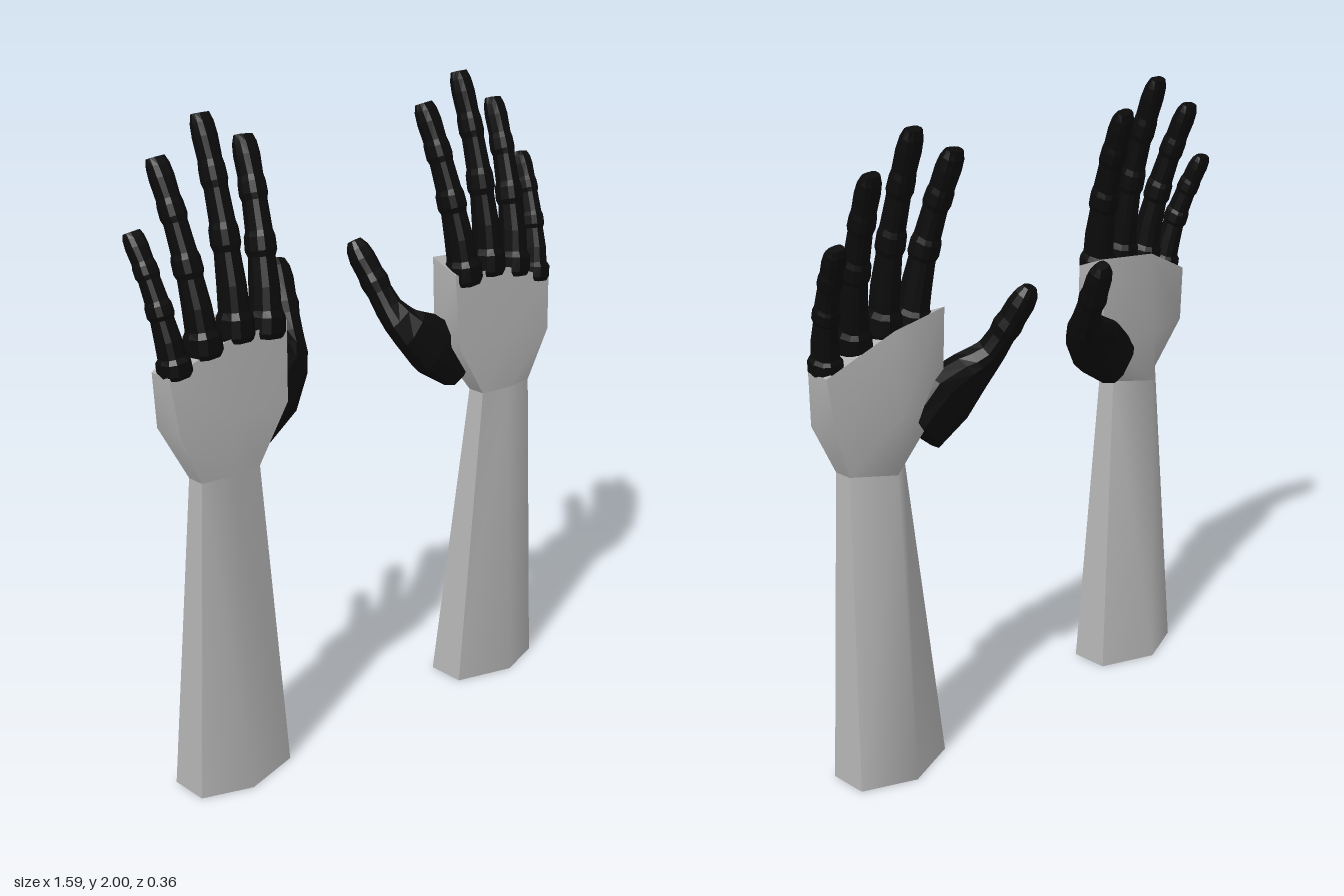
import * as THREE from 'three';

const mat = (name, color) => Object.assign(new THREE.MeshStandardMaterial({ color }), { name });

// Strip of quads between rows of points; smooth normals inside each strip
function sheet(rows) {
  const n = rows[0].length, index = [];
  for (let r = 0; r < rows.length - 1; r++)
    for (let i = 0; i < n - 1; i++) {
      const a = r * n + i, b = a + 1, c = a + n, d = c + 1;
      index.push(a, c, b, b, c, d);
    }
  const g = new THREE.BufferGeometry();
  g.setAttribute('position', new THREE.Float32BufferAttribute(rows.flat(2), 3));
  g.setIndex(index);
  g.computeVertexNormals();
  return g;
}

// Flat polygon closing one end
function cap(points, up) {
  const index = [];
  for (let i = 1; i < points.length - 1; i++) index.push(...(up ? [0, i + 1, i] : [0, i, i + 1]));
  const g = new THREE.BufferGeometry();
  g.setAttribute('position', new THREE.Float32BufferAttribute(points.flat(), 3));
  g.setIndex(index);
  g.computeVertexNormals();
  return g;
}

// Six-sided sleeve: creased at the narrow sides, smooth across front and back.
// Row order: outer back, outer front, front ridge, inner front, inner back, back ridge
function sleeve(rows) {
  const pick = (...ids) => sheet(rows.map((r) => ids.map((i) => r[i])));
  return [pick(0, 1), pick(1, 2, 3), pick(3, 4), pick(4, 5, 0),
    cap(rows[0], false), cap(rows[rows.length - 1], true)];
}

// Faceted tube through sections [x, y, z, halfWidth, halfDepth]
function loft(sections, sides = 10) {
  const pos = [], index = [];
  const centre = sections.map((s) => new THREE.Vector3(s[0], s[1], s[2]));
  const last = sections.length - 1;
  const soft = (v) => Math.sign(v) * Math.abs(v) ** 0.7;
  sections.forEach((s, k) => {
    const t = centre[Math.min(k + 1, last)].clone().sub(centre[Math.max(k - 1, 0)]).normalize();
    const w = new THREE.Vector3(t.y, -t.x, 0).normalize();
    const d = w.clone().cross(t);
    for (let i = 0; i < sides; i++) {
      const a = (i / sides) * Math.PI * 2;
      const p = centre[k].clone().addScaledVector(w, soft(Math.cos(a)) * s[3])
        .addScaledVector(d, soft(Math.sin(a)) * s[4]);
      pos.push(p.x, p.y, p.z);
      const j = (i + 1) % sides, o = k * sides;
      if (k < last) index.push(o + i, o + i + sides, o + j, o + j, o + i + sides, o + j + sides);
      if (i > 0 && i < sides - 1 && k === 0) index.push(0, i, i + 1);
      if (i > 0 && i < sides - 1 && k === last) index.push(o, o + i + 1, o + i);
    }
  });
  const g = new THREE.BufferGeometry();
  g.setAttribute('position', new THREE.Float32BufferAttribute(pos, 3));
  g.setIndex(index);
  const flat = g.toNonIndexed();
  flat.setIndex([...Array(flat.attributes.position.count).keys()]);
  flat.computeVertexNormals();
  return flat;
}

// Mirrored copy with its faces turned the right way round
function mirrored(geometry) {
  const g = geometry.clone().applyMatrix4(new THREE.Matrix4().makeScale(-1, 1, 1));
  const a = g.index.array;
  for (let i = 0; i < a.length; i += 3) [a[i + 1], a[i + 2]] = [a[i + 2], a[i + 1]];
  return g;
}

// Joint bulges along a finger: [t, width, halfDepth, z]
const fingerProfile = [
  [0, 0.045, 0.046, 0.076], [0.02, 0.048, 0.052, 0.077], [0.1, 0.046, 0.052, 0.074],
  [0.13, 0.037, 0.044, 0.071], [0.25, 0.035, 0.042, 0.062], [0.4, 0.031, 0.036, 0.044],
  [0.43, 0.037, 0.041, 0.04], [0.5, 0.036, 0.04, 0.03], [0.53, 0.031, 0.036, 0.026],
  [0.68, 0.029, 0.033, 0.0], [0.71, 0.034, 0.036, -0.006], [0.77, 0.033, 0.035, -0.018],
  [0.8, 0.03, 0.032, -0.024], [0.9, 0.033, 0.031, -0.045], [0.96, 0.032, 0.026, -0.058],
  [1, 0.028, 0.015, -0.066],
];

function finger(x0, y0, x1, y1, size, curl) {
  return loft(fingerProfile.map(([t, w, d, z]) => [
    x0 + (x1 - x0) * t, y0 + (y1 - y0) * t, 0.076 + (z - 0.076) * curl, w * size, d * size]));
}

export function createModel() {
  const model = new THREE.Group();
  model.name = 'pairOfHands';
  const grey = mat('light grey', 0xb4b4b4);
  const black = mat('black', 0x0b0b0b);

  const wrist = [[0.67, 1, 0.055], [0.67, 1, 0.115], [0.56, 1, 0.128],
    [0.46, 1, 0.115], [0.46, 1, 0.055], [0.56, 1, -0.03]];
  const elbow = [[0.715, 0, 0], [0.715, 0, 0.125], [0.56, 0, 0.18],
    [0.37, 0, 0.125], [0.37, 0, 0], [0.55, 0, -0.07]];
  const palmMiddle = [[0.745, 1.16, 0.015], [0.745, 1.16, 0.125], [0.56, 1.17, 0.13],
    [0.352, 1.17, 0.115], [0.352, 1.17, 0.0], [0.55, 1.18, -0.043]];
  const palmTop = [[0.763, 1.33, 0.025], [0.763, 1.33, 0.105], [0.56, 1.4, 0.112],
    [0.34, 1.41, 0.1], [0.34, 1.45, 0.0], [0.55, 1.43, -0.02]];

  // Each part of the hand on the +x side
  const parts = [
    ['forearm', grey, sleeve([elbow, wrist])],
    ['palm', grey, sleeve([wrist, palmMiddle, palmTop])],
    ['indexFinger', black, [finger(0.402, 1.376, 0.353, 1.92, 1.08, 1)]],
    ['middleFinger', black, [finger(0.508, 1.386, 0.503, 2.0, 1.02, 1)]],
    ['ringFinger', black, [finger(0.62, 1.365, 0.658, 1.9, 1.02, 1)]],
    ['littleFinger', black, [finger(0.721, 1.328, 0.765, 1.715, 0.93, 0.82)]],
    ['thumb', black, [loft([
      [0.43, 1.09, 0.025, 0.085, 0.06], [0.33, 1.17, 0.015, 0.1, 0.062],
      [0.25, 1.232, -0.008, 0.066, 0.055], [0.222, 1.265, -0.03, 0.052, 0.048],
      [0.204, 1.3, -0.056, 0.04, 0.042], [0.19, 1.35, -0.083, 0.036, 0.038],
      [0.184, 1.38, -0.1, 0.041, 0.042], [0.178, 1.405, -0.114, 0.037, 0.038],
      [0.167, 1.45, -0.138, 0.039, 0.036], [0.16, 1.48, -0.153, 0.034, 0.03],
      [0.155, 1.503, -0.163, 0.022, 0.018]])]],
  ];

  for (const side of ['left', 'right']) {
    const arm = new THREE.Group();
    arm.name = side + 'Arm';
    for (const [name, material, geometries] of parts) {
      const part = new THREE.Group();
      part.name = name;
      for (const g of geometries) {
        const mesh = new THREE.Mesh(side === 'left' ? g : mirrored(g), material);
        mesh.name = name + 'Surface';
        part.add(mesh);
      }
      arm.add(part);
    }
    model.add(arm);
  }
  return model;
}
